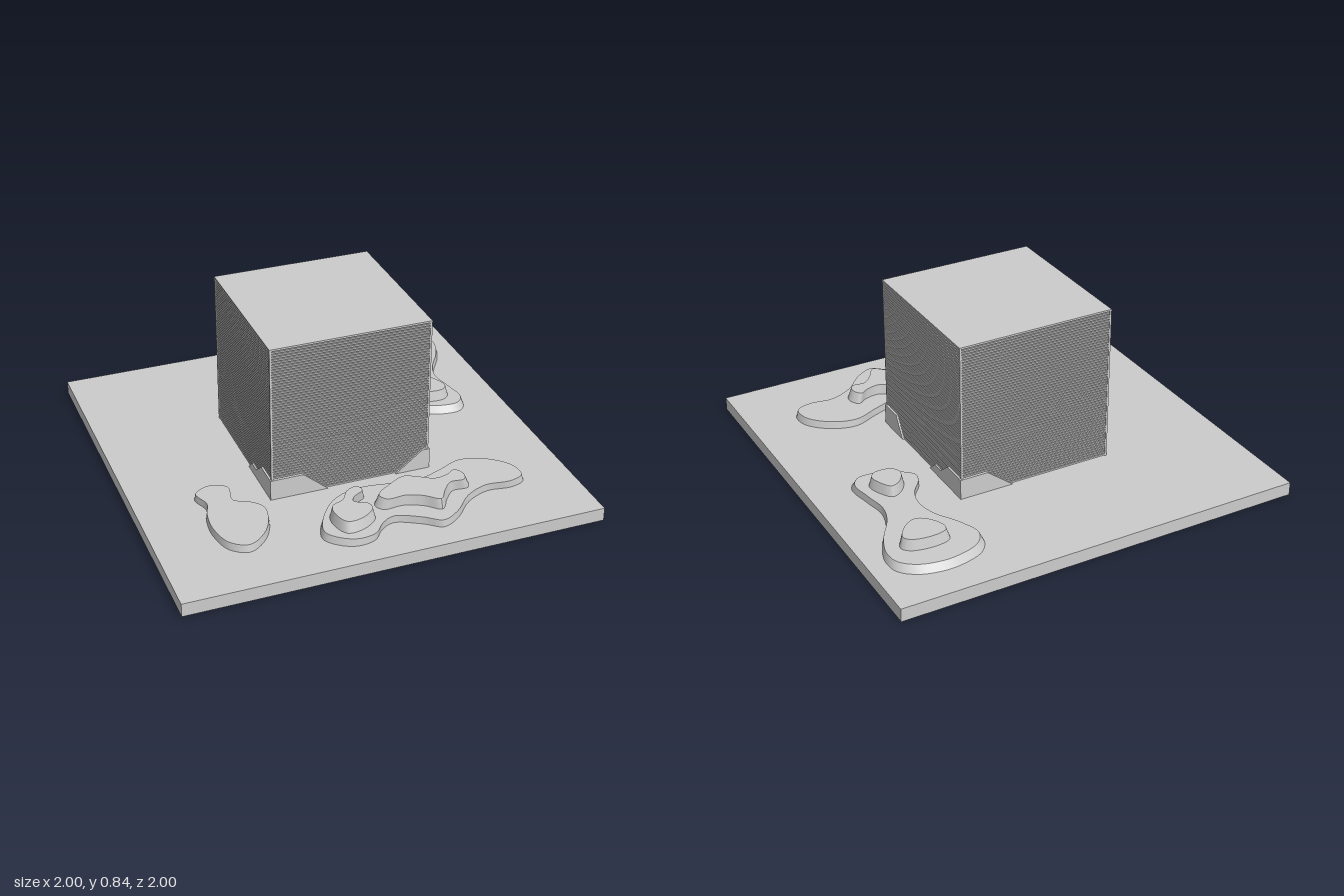
import * as THREE from 'three';
import { toCreasedNormals } from 'three/addons/utils/BufferGeometryUtils.js';

const GROUND = 0.065, STEP = 0.1, PEAK = 0.15, TOP = 0.84;

export function createModel() {
  const root = new THREE.Group();
  const material = new THREE.MeshStandardMaterial({ color: 0xcccccc });

  function add(name, geometry, parent = root) {
    const mesh = new THREE.Mesh(geometry, material);
    mesh.name = name;
    parent.add(mesh);
    return mesh;
  }
  function box(name, w, h, d, x, y, z, parent) {
    add(name, new THREE.BoxGeometry(w, h, d), parent).position.set(x, y, z);
  }

  // Square ground slab
  box('groundSlab', 2, GROUND, 2, 0, GROUND / 2, 0);

  // Ribbed tower: core, stacked slats, corner posts and lid
  const tower = new THREE.Group();
  tower.name = 'ribbedTower';
  tower.position.set(0.004, 0, 0.004);
  root.add(tower);
  const side = 0.778, height = TOP - GROUND, slats = 60, pitch = height / slats;
  box('core', side - 0.02, height - 0.004, side - 0.02, 0, GROUND + height / 2 - 0.002, 0, tower);
  for (let i = 0; i < slats; i++) {
    box('slat', side - 0.004, pitch * 0.6, side - 0.004, 0, GROUND + (i + 0.5) * pitch, 0, tower);
  }
  for (const x of [-1, 1]) for (const z of [-1, 1]) {
    const offset = side / 2 - 0.005;
    box('cornerPost', 0.01, height, 0.01, x * offset, GROUND + height / 2, z * offset, tower);
  }
  box('lid', side, 0.006, side, 0, TOP - 0.003, 0, tower);

  // Thin sloped guards wrapping the tower corners: points are [distance from corner, y]
  const OUT = 0.395, THICK = 0.012;
  function guardPlate(profile, x, z, alongX) {
    const points = [[0, GROUND], [0, 0.167], ...profile].map(([d, y]) => new THREE.Vector2(d, y));
    const g = new THREE.ExtrudeGeometry(new THREE.Shape(points), { depth: THICK, bevelEnabled: false });
    const plate = add('cornerGuard', g, tower);
    // Run along the wall away from the corner, thickness facing inwards
    if (alongX) {
      plate.rotation.y = x > 0 ? Math.PI : 0;
      const thicknessSign = x > 0 ? -1 : 1;
      plate.position.set(x * OUT, 0, z * OUT - (thicknessSign === z ? z * THICK : 0));
    } else {
      plate.rotation.y = z > 0 ? Math.PI / 2 : -Math.PI / 2;
      const thicknessSign = z > 0 ? 1 : -1;
      plate.position.set(x * OUT - (thicknessSign === x ? x * THICK : 0), 0, z * OUT);
    }
  }
  const slope = (top, bottom) => [[top, 0.167], [bottom, GROUND]];
  const stepped = [[0.13, 0.167], [0.2, 0.11], [0.26, 0.11], [0.31, GROUND]];
  guardPlate(slope(0.16, 0.28), -1, 1, true);
  guardPlate(stepped, -1, 1, false);
  guardPlate(slope(0.04, 0.17), 1, 1, true);
  guardPlate(slope(0.125, 0.19), 1, 1, false);
  guardPlate(slope(0.14, 0.27), 1, -1, true);
  guardPlate(stepped, 1, -1, false);

  // Terraced mounds: smooth closed outline [x, z], tapered towards the top
  function mound(name, y0, y1, taper, outline) {
    const curve = new THREE.CatmullRomCurve3(
      outline.map(([x, z]) => new THREE.Vector3(x, -z, 0)), true);
    const points = curve.getPoints(outline.length * 6).slice(0, -1)
      .map(p => new THREE.Vector2(p.x, p.y));
    const g = new THREE.ExtrudeGeometry(new THREE.Shape(points), { depth: y1 - y0, bevelEnabled: false });
    g.rotateX(-Math.PI / 2);
    g.computeBoundingBox();
    const c = g.boundingBox.getCenter(new THREE.Vector3());
    const p = g.attributes.position;
    for (let i = 0; i < p.count; i++) {
      if (p.getY(i) < c.y) continue;
      p.setX(i, c.x + (p.getX(i) - c.x) * taper);
      p.setZ(i, c.z + (p.getZ(i) - c.z) * taper);
    }
    g.translate(0, y0, 0);
    add(name, toCreasedNormals(g, 0.6));
  }

  mound('backMound', GROUND, STEP, 0.94, [
    [0.46, -0.72], [0.51, -0.8], [0.62, -0.84], [0.72, -0.845], [0.83, -0.815], [0.9, -0.75],
    [0.91, -0.66], [0.87, -0.55], [0.79, -0.42], [0.765, -0.32], [0.785, -0.2], [0.8, -0.08],
    [0.76, -0.025], [0.68, -0.02], [0.57, -0.06], [0.495, -0.13], [0.51, -0.19], [0.57, -0.27],
    [0.595, -0.37], [0.57, -0.48], [0.5, -0.6]]);
  mound('backLargePeak', STEP, PEAK, 0.87, [
    [0.61, -0.69], [0.68, -0.71], [0.8, -0.69], [0.83, -0.65], [0.77, -0.56], [0.7, -0.53],
    [0.64, -0.57], [0.6, -0.65]]);
  mound('backSmallPeak', STEP, PEAK, 0.85, [
    [0.68, -0.27], [0.72, -0.22], [0.74, -0.14], [0.7, -0.1], [0.61, -0.11], [0.58, -0.16],
    [0.62, -0.24]]);

  mound('sideMound', GROUND, STEP, 0.97, [
    [-0.715, 0.27], [-0.635, 0.225], [-0.555, 0.265], [-0.565, 0.38], [-0.5, 0.42],
    [-0.45, 0.48], [-0.46, 0.58], [-0.52, 0.69], [-0.61, 0.75], [-0.69, 0.7],
    [-0.725, 0.57], [-0.715, 0.45], [-0.69, 0.37]]);

  mound('frontMound', GROUND, STEP, 0.98, [
    [-0.28, 0.77], [-0.235, 0.645], [-0.13, 0.53], [0, 0.49], [0.165, 0.51], [0.3, 0.52],
    [0.41, 0.485], [0.54, 0.435], [0.66, 0.47], [0.755, 0.565], [0.76, 0.66], [0.685, 0.69],
    [0.565, 0.68], [0.45, 0.73], [0.35, 0.83], [0.26, 0.875], [0.18, 0.82], [0.06, 0.765],
    [-0.01, 0.8], [-0.065, 0.86], [-0.155, 0.875], [-0.235, 0.835]]);
  mound('frontLeftPeak', STEP, PEAK, 0.88, [
    [-0.215, 0.725], [-0.2, 0.655], [-0.13, 0.62], [-0.085, 0.555], [-0.02, 0.53],
    [-0.005, 0.575], [-0.07, 0.62], [-0.085, 0.655], [-0.02, 0.7], [-0.02, 0.75],
    [-0.1, 0.81], [-0.18, 0.815]]);
  mound('frontRightPeak', STEP, PEAK, 0.91, [
    [0.015, 0.65], [0.11, 0.575], [0.2, 0.535], [0.26, 0.565], [0.34, 0.61], [0.415, 0.595],
    [0.46, 0.57], [0.49, 0.62], [0.47, 0.67], [0.395, 0.67], [0.34, 0.725], [0.29, 0.79],
    [0.22, 0.735], [0.14, 0.7], [0.04, 0.7]]);

  return root;
}
